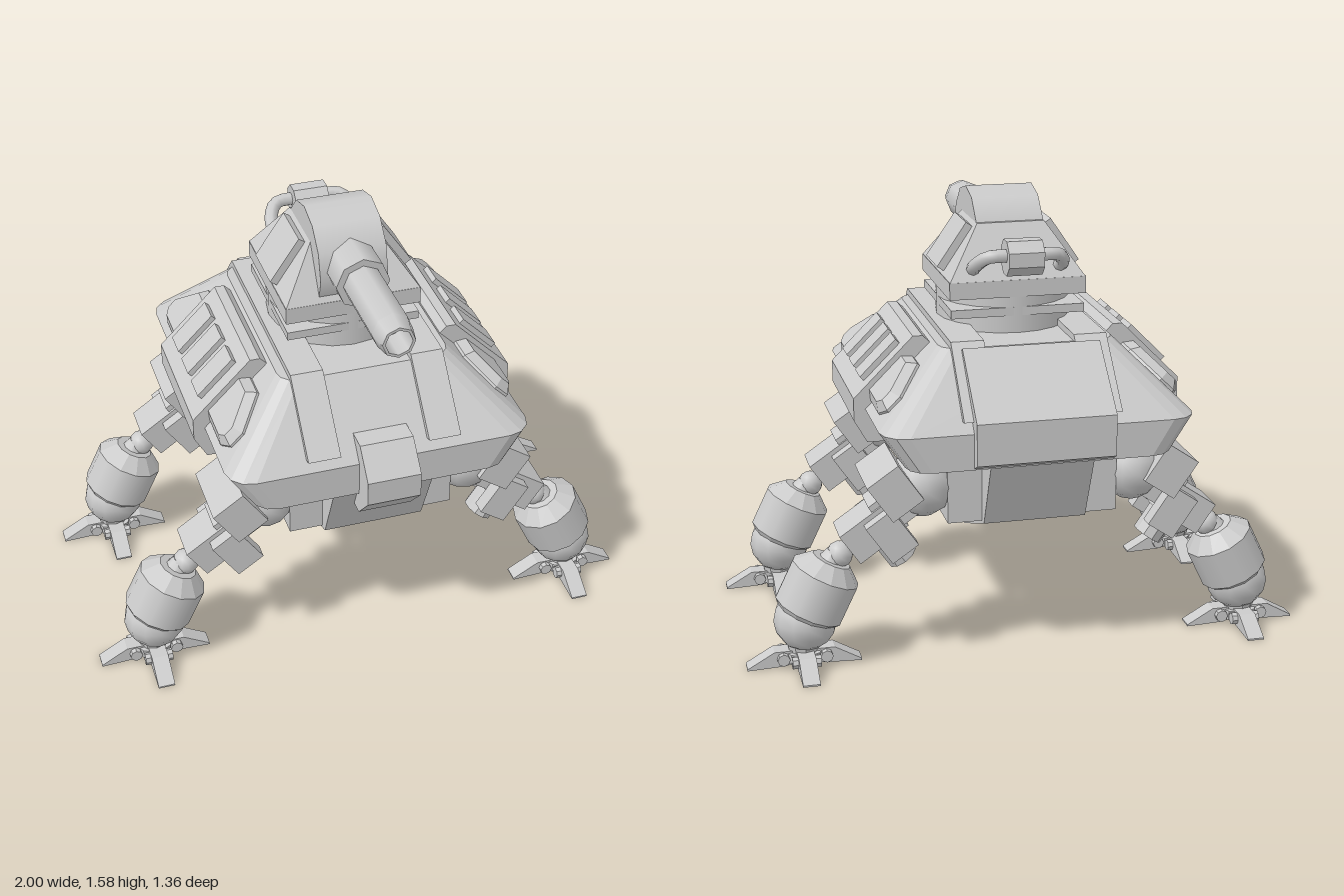
import * as THREE from 'three';

const flat = new THREE.MeshStandardMaterial({ color: 0xcccccc, flatShading: true, side: THREE.DoubleSide });
const smooth = new THREE.MeshStandardMaterial({ color: 0xcccccc, side: THREE.DoubleSide });

function add(parent, name, geo, mat = flat, pos = [0, 0, 0], rot = [0, 0, 0]) {
  const m = new THREE.Mesh(geo, mat);
  m.name = name;
  m.position.set(...pos);
  m.rotation.set(...rot);
  parent.add(m);
  return m;
}
const box = (x, y, z) => new THREE.BoxGeometry(x, y, z);
const cyl = (r1, r2, h, n) => new THREE.CylinderGeometry(r1, r2, h, n);
const ball = r => new THREE.SphereGeometry(r, 12, 8);
const outline = pts => new THREE.Shape(pts.map(p => new THREE.Vector2(...p)));

// Outline in (x, y) extruded along z, centred
const prismZ = (pts, depth) =>
  new THREE.ExtrudeGeometry(outline(pts), { depth, bevelEnabled: false }).translate(0, 0, -depth / 2);
// Outline in (z, y) extruded along x, centred
const prismX = (pts, depth) => prismZ(pts, depth).rotateY(-Math.PI / 2);

// Rings of [y, half x, half z, corner radius] joined and capped, with 'n' steps per corner
function loft(rings, n) {
  const pos = [], idx = [];
  const count = 4 * (n + 1);
  for (const [y, hx, hz, r] of rings) {
    for (let q = 0; q < 4; q++) for (let i = 0; i <= n; i++) {
      const a = (q + (n ? i / n : 0.5)) * Math.PI / 2;
      const sx = q === 0 || q === 3 ? 1 : -1, sz = q < 2 ? 1 : -1;
      pos.push(sx * (hx - r) + r * Math.cos(a), y, sz * (hz - r) + r * Math.sin(a));
    }
  }
  for (let k = 0; k < rings.length - 1; k++) for (let i = 0; i < count; i++) {
    const a = k * count + i, b = k * count + (i + 1) % count;
    idx.push(a, a + count, b, b, a + count, b + count);
  }
  const t = (rings.length - 1) * count;
  for (let i = 1; i < count - 1; i++) idx.push(0, i, i + 1, t, t + i + 1, t + i);
  const g = new THREE.BufferGeometry();
  g.setAttribute('position', new THREE.Float32BufferAttribute(pos, 3));
  g.setIndex(idx);
  const out = g.toNonIndexed();
  out.computeVertexNormals();
  return out;
}

// One leg reaching toward +x
function makeLeg() {
  const leg = new THREE.Group();
  leg.name = 'leg';
  add(leg, 'shoulderBall', ball(0.118), smooth, [0.375, 0.632, 0]);
  const tilt = -0.6;
  add(leg, 'thighBlock', box(0.13, 0.155, 0.26), flat, [0.488, 0.642, 0], [0, 0, tilt]);
  add(leg, 'thighCore', box(0.16, 0.13, 0.13), flat, [0.47, 0.57, 0], [0, 0, tilt]);
  // Knee fork with its pin and link
  for (const s of [-1, 1])
    add(leg, 'kneeProng', box(0.11, 0.16, 0.055), flat, [0.5, 0.485, s * 0.093], [0, 0, tilt]);
  add(leg, 'kneePin', cyl(0.055, 0.055, 0.16, 10), flat, [0.49, 0.43, 0], [0, 0, tilt]);
  add(leg, 'kneeLink', box(0.18, 0.125, 0.15), flat, [0.565, 0.482, 0], [0, 0, tilt]);
  add(leg, 'kneeBall', ball(0.047), smooth, [0.665, 0.393, 0]);
  // Shin drum and ankle
  const shin = new THREE.Group();
  shin.name = 'shin';
  shin.position.set(0.747, 0.265, 0);
  shin.rotation.z = 0.45;
  leg.add(shin);
  add(shin, 'shinCap', cyl(0.07, 0.125, 0.05, 12), flat, [0, 0.098, 0]);
  add(shin, 'shinDrum', cyl(0.125, 0.125, 0.146, 12), smooth);
  add(shin, 'shinNeck', cyl(0.03, 0.05, 0.05, 10), smooth, [0, 0.13, 0]);
  add(shin, 'shinBase', cyl(0.125, 0.1, 0.025, 12), flat, [0, -0.085, 0]);
  add(leg, 'ankleBall', ball(0.112), smooth, [0.79, 0.165, 0]);
  // Foot with four toes
  add(leg, 'ankle', cyl(0.06, 0.05, 0.06, 10), flat, [0.8, 0.055, 0]);
  add(leg, 'footHub', cyl(0.07, 0.07, 0.035, 8), flat, [0.8, 0.035, 0]);
  const toe = [[0.03, 0.015], [0.07, 0.005], [0.2, 0], [0.2, 0.006], [0.105, 0.06], [0.03, 0.06]];
  for (let i = 0; i < 4; i++) {
    add(leg, 'toe', prismZ(toe, 0.06), flat, [0.8, 0, 0], [0, i * Math.PI / 2, 0]);
    add(leg, 'toeJoint', cyl(0.022, 0.022, 0.1, 8).rotateX(Math.PI / 2).translate(0.075, 0.035, 0),
      flat, [0.8, 0, 0], [0, i * Math.PI / 2, 0]);
  }
  return leg;
}

// Armour on one flank, facing +x
function makeFlank() {
  const g = new THREE.Group();
  g.name = 'flankArmour';
  const profile = [[0.44, 0.75], [0.54, 0.75], [0.585, 0.83], [0.585, 0.91], [0.375, 1.12], [0.34, 1.12], [0.3, 1.08]];
  add(g, 'sidePanel', prismZ(profile, 0.495));
  // Plates lying on the 45 degree slope
  const slope = new THREE.Group();
  slope.name = 'slopePlates';
  const u = new THREE.Vector3(-1, 1, 0).normalize(), n = new THREE.Vector3(1, 1, 0).normalize();
  slope.applyMatrix4(new THREE.Matrix4().makeBasis(new THREE.Vector3(0, 0, -1), u, n));
  slope.position.set(0.42, 1.0, 0);
  g.add(slope);
  const pod = [[-0.39, -0.12], [0.39, -0.12], [0.42, -0.1], [0.42, -0.06], [0.33, 0.04], [-0.33, 0.04], [-0.42, -0.06], [-0.42, -0.1]];
  const podGeo = new THREE.ExtrudeGeometry(outline(pod),
    { depth: 0.01, bevelThickness: 0.03, bevelSize: 0.025, bevelSegments: 1 });
  add(slope, 'sidePod', podGeo, flat, [0, 0, -0.005]);
  for (const z of [-0.144, 0, 0.144])
    add(slope, 'ventPlate', box(0.097, 0.18, 0.03), flat, [z, -0.025, 0.058]);
  // Sloping belly flank between the hip mounts
  add(g, 'bellyFlank', prismZ([[0.15, 0.76], [0.3, 0.76], [0.18, 0.505], [0.15, 0.505]], 0.36));
  // Turret cheek plate
  add(g, 'turretPlate', box(0.03, 0.185, 0.19), flat, [0.192, 1.39, 0], [0, 0, 0.6]);
  for (const s of [-1, 1]) {
    add(g, 'hipMount', box(0.14, 0.25, 0.27), flat, [0.23, 0.628, s * 0.315]);
    const leg = makeLeg();
    leg.position.z = s * 0.368;
    g.add(leg);
  }
  return g;
}

export function createModel() {
  const root = new THREE.Group();
  root.name = 'walkerTank';
  const body = new THREE.Group();
  body.name = 'body';
  body.position.z = -0.03;
  root.add(body);

  // Hull and belly
  add(body, 'hull', loft([[0.745, 0.46, 0.605, 0.08], [0.87, 0.545, 0.605, 0.09], [1.107, 0.305, 0.39, 0.06]], 3));
  add(body, 'belly', prismX([[0.595, 0.76], [-0.595, 0.76], [-0.48, 0.503], [-0.17, 0.388], [0.17, 0.388], [0.48, 0.503]], 0.36));
  add(body, 'nose', prismX([[0.5, 0.95], [0.61, 0.95], [0.7, 0.855], [0.7, 0.765], [0.6, 0.66], [0.54, 0.66]], 0.19));
  // Armour strips running from the front slope over the top to the rear
  const strip = [[0.55, 0.9], [0.6, 0.91], [0.39, 1.13], [-0.39, 1.13], [-0.6, 0.91], [-0.55, 0.9], [-0.36, 1.08], [0.36, 1.08]];
  for (const s of [-1, 1])
    add(body, 'armourStrip', prismX(strip, 0.115), flat, [s * 0.215, 0, 0]);
  add(body, 'rearPanel', prismX([[-0.38, 1.08], [-0.425, 1.115], [-0.645, 0.915], [-0.645, 0.77], [-0.605, 0.75], [-0.5, 0.75]], 0.48));

  // Flanks with legs, the second turned half round
  const left = makeFlank(), right = makeFlank();
  right.rotation.y = Math.PI;
  body.add(left, right);

  // Turret: round neck, square collar plate, base and tapered body
  add(body, 'turretNeck', cyl(0.24, 0.24, 0.145, 20), smooth, [0, 1.168, 0]);
  add(body, 'turretCollar', box(0.475, 0.03, 0.475), flat, [0, 1.183, 0]);
  add(body, 'turretBase', box(0.485, 0.06, 0.48), flat, [0, 1.265, 0]);
  add(body, 'turretBody', loft([[1.293, 0.242, 0.24, 0], [1.475, 0.12, 0.125, 0]], 0));
  add(body, 'gunMount', cyl(0.19, 0.19, 0.24, 12), smooth, [0, 1.385, 0.055], [0, 0, Math.PI / 2]);

  // Gun, with a hollow muzzle
  const gun = [[0.095, 0.1], [0.095, 0.34], [0.07, 0.34], [0.07, 0.64], [0.057, 0.71], [0.047, 0.71], [0.047, 0.6]];
  for (let i = 0; i < gun.length - 1; i++) {
    const seg = new THREE.LatheGeometry([gun[i], gun[i + 1]].map(p => new THREE.Vector2(...p)), 8);
    add(body, 'gunBarrel', seg, smooth, [0, 1.413, 0], [Math.PI / 2, 0, 0]);
  }
  add(body, 'gunBore', new THREE.CircleGeometry(0.047, 8), flat, [0, 1.413, 0.6]);

  // Rear pipe and canister
  const path = new THREE.CatmullRomCurve3([[-0.15, 1.32, -0.18], [-0.155, 1.355, -0.25], [-0.12, 1.395, -0.305],
    [0, 1.395, -0.31], [0.12, 1.395, -0.305], [0.155, 1.355, -0.25], [0.15, 1.32, -0.18]].map(p => new THREE.Vector3(...p)));
  add(body, 'rearPipe', new THREE.TubeGeometry(path, 24, 0.024, 8), smooth);
  add(body, 'rearCanister', cyl(0.065, 0.065, 0.125, 8).rotateY(Math.PI / 8), flat, [0, 1.39, -0.3], [0, 0, Math.PI / 2]);
  return root;
}
